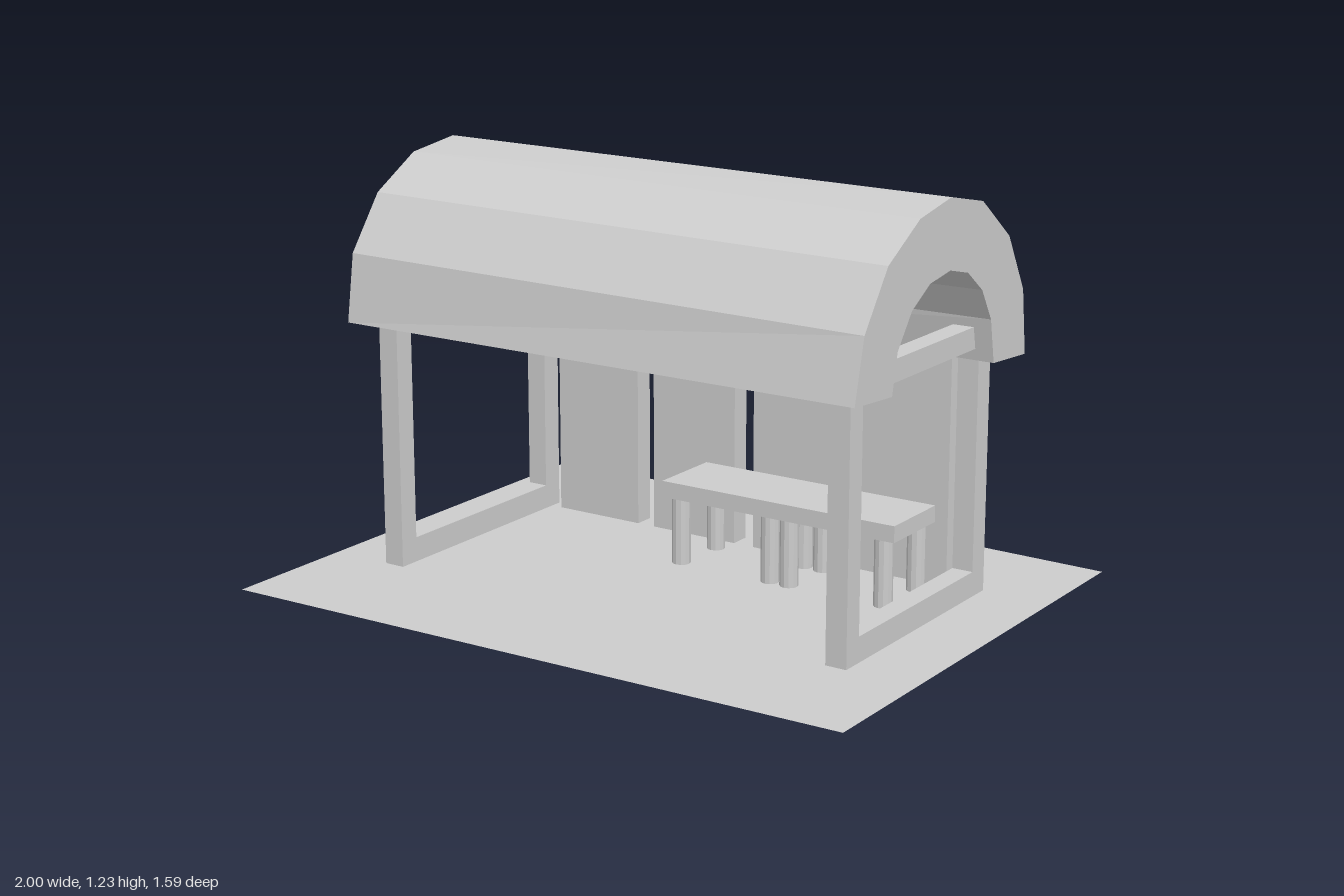
import * as THREE from 'three';

export function createModel() {
  const model = new THREE.Group();
  model.name = 'shelter';
  const grey = new THREE.MeshStandardMaterial({ color: 0xcccccc, flatShading: true });
  grey.name = 'light grey';
  const groundGrey = grey.clone();
  groundGrey.name = 'ground grey';
  groundGrey.side = THREE.DoubleSide;

  const add = (name, geometry, parent = model, material = grey) => {
    const mesh = new THREE.Mesh(geometry, material);
    mesh.name = name;
    parent.add(mesh);
    return mesh;
  };
  // Box given by its limits on each axis
  const box = (name, [x0, x1], [y0, y1], [z0, z1], parent) =>
    add(name, new THREE.BoxGeometry(x1 - x0, y1 - y0, z1 - z0), parent)
      .position.set((x0 + x1) / 2, (y0 + y1) / 2, (z0 + z1) / 2);
  // Flat-sided geometry from four-cornered faces
  const fromQuads = (quads) => {
    const points = quads.flatMap(([a, b, c, d]) => [a, b, c, a, c, d]);
    const geometry = new THREE.BufferGeometry();
    geometry.setAttribute('position', new THREE.Float32BufferAttribute(points.flat(), 3));
    geometry.computeVertexNormals();
    return geometry;
  };

  // Ground sheet, slightly narrower at the left end
  add('ground', fromQuads([[[-1, 0, 0.79], [1, 0, 0.75], [1, 0, -0.755], [-1, 0, -0.8]]]), model, groundGrey);

  // Arched roof: outer and inner [z, y] profiles, front to back, for each end
  const leftEnd = {
    outer: [[0.47, 0.755], [0.425, 0.935], [0.305, 1.095], [0.135, 1.19], [-0.04, 1.22],
      [-0.23, 1.18], [-0.4, 1.055], [-0.5, 0.885], [-0.525, 0.69]],
    inner: [[0.27, 0.74], [0.245, 0.855], [0.17, 0.95], [0.07, 1.005], [-0.045, 1.02],
      [-0.15, 0.995], [-0.24, 0.93], [-0.3, 0.835], [-0.325, 0.705]],
  };
  const rightEnd = {
    outer: [[0.47, 0.755], [0.44, 0.955], [0.32, 1.115], [0.15, 1.21], [-0.04, 1.233],
      [-0.23, 1.19], [-0.39, 1.06], [-0.475, 0.895], [-0.5, 0.705]],
    inner: [[0.27, 0.745], [0.247, 0.857], [0.172, 0.952], [0.07, 1.01], [-0.045, 1.022],
      [-0.145, 0.985], [-0.23, 0.92], [-0.287, 0.83], [-0.3, 0.72]],
  };
  const place = (profile, x) => profile.map(([z, y]) => [x + 0.019 * z, y, z]);
  const lo = place(leftEnd.outer, 0.846), li = place(leftEnd.inner, 0.846);
  const ro = place(rightEnd.outer, -0.85), ri = place(rightEnd.inner, -0.85);
  const quads = [];
  const leftLoop = [...lo, ...[...li].reverse()];
  const rightLoop = [...ro, ...[...ri].reverse()];
  leftLoop.forEach((p, i) => {
    const j = (i + 1) % leftLoop.length;
    quads.push([rightLoop[i], p, leftLoop[j], rightLoop[j]]);
  });
  for (let i = 0; i < lo.length - 1; i++) {
    quads.push([lo[i], li[i], li[i + 1], lo[i + 1]]);
    quads.push([ro[i], ro[i + 1], ri[i + 1], ri[i]]);
  }
  add('archedRoof', fromQuads(quads));

  // Rectangular frame at each end
  for (const [side, x] of [['right', [-0.81, -0.745]], ['left', [0.72, 0.785]]]) {
    const frame = new THREE.Group();
    frame.name = side + 'Frame';
    model.add(frame);
    box('frontPost', x, [0, 0.805], [0.305, 0.37], frame);
    box('backPost', x, [0, 0.805], [-0.41, -0.34], frame);
    box('topBeam', x, [0.74, 0.805], [-0.34, 0.305], frame);
    box('bottomBeam', x, [0, 0.075], [-0.34, 0.305], frame);
  }

  // Back wall panels
  for (const x of [[-0.7, -0.4], [-0.34, -0.043], [0.025, 0.325], [0.39, 0.69]]) {
    box('backPanel', x, [0.005, 0.8], [-0.425, -0.36]);
  }

  // Long bench on two sets of four round legs
  const bench = new THREE.Group();
  bench.name = 'bench';
  model.add(bench);
  box('benchTop', [-0.13, 0.66], [0.204, 0.254], [-0.338, -0.1], bench);
  const legGeometry = new THREE.CylinderGeometry(0.028, 0.028, 0.206, 12);
  for (const x of [-0.083, 0.23, 0.295, 0.61]) {
    for (const z of [-0.132, -0.305]) {
      add('benchLeg', legGeometry, bench).position.set(x + (z < -0.2 ? 0.01 : 0), 0.102, z);
    }
  }
  return model;
}
